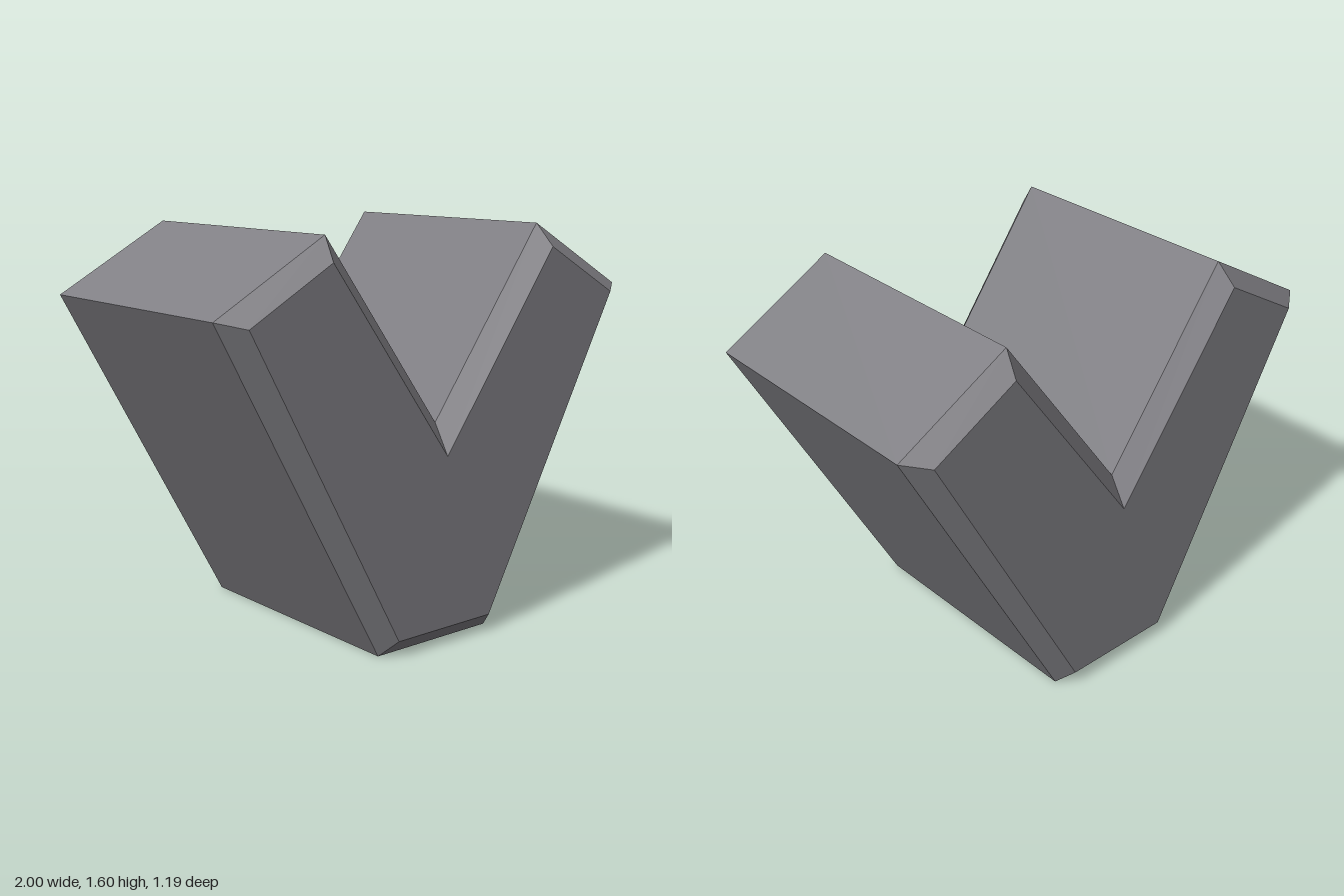
import * as THREE from 'three';

// Mirrors a right-hand half profile into a closed counter-clockwise outline
function outline(half, notchY) {
  const right = half.map(([x, y]) => new THREE.Vector2(x, y));
  const left = half.map(([x, y]) => new THREE.Vector2(-x, y)).reverse();
  return [...right, new THREE.Vector2(0, notchY), ...left];
}

export function createModel() {
  const group = new THREE.Group();
  const grey = new THREE.MeshStandardMaterial({ color: 0x807f84 });
  grey.name = 'grey';

  // Full-size V outline and the smaller outline of the bevelled end faces
  const outer = outline([[0.28, 0], [1, 1.335], [0.53, 1.6]], 0.87);
  const inner = outline([[0.238, 0.07], [0.905, 1.31], [0.55, 1.51]], 0.75);

  // Cross-sections from back to front
  const sections = [[inner, -0.597], [outer, -0.525], [outer, 0.525], [inner, 0.597]]
    .map(([points, z]) => points.map((p) => new THREE.Vector3(p.x, p.y, z)));

  const positions = [];
  const tri = (a, b, c) => [a, b, c].forEach((v) => positions.push(v.x, v.y, v.z));

  // Bevels and side walls
  for (let s = 0; s < sections.length - 1; s++) {
    const back = sections[s], front = sections[s + 1];
    for (let i = 0; i < back.length; i++) {
      const j = (i + 1) % back.length;
      tri(back[i], back[j], front[j]);
      tri(back[i], front[j], front[i]);
    }
  }

  // Flat front and back faces
  const [back, front] = [sections[0], sections[3]];
  for (const [a, b, c] of THREE.ShapeUtils.triangulateShape(inner, [])) {
    tri(front[a], front[b], front[c]);
    tri(back[c], back[b], back[a]);
  }

  const geometry = new THREE.BufferGeometry();
  geometry.setAttribute('position', new THREE.Float32BufferAttribute(positions, 3));
  geometry.computeVertexNormals();

  const block = new THREE.Mesh(geometry, grey);
  block.name = 'bevelledVBlock';
  group.add(block);
  return group;
}
